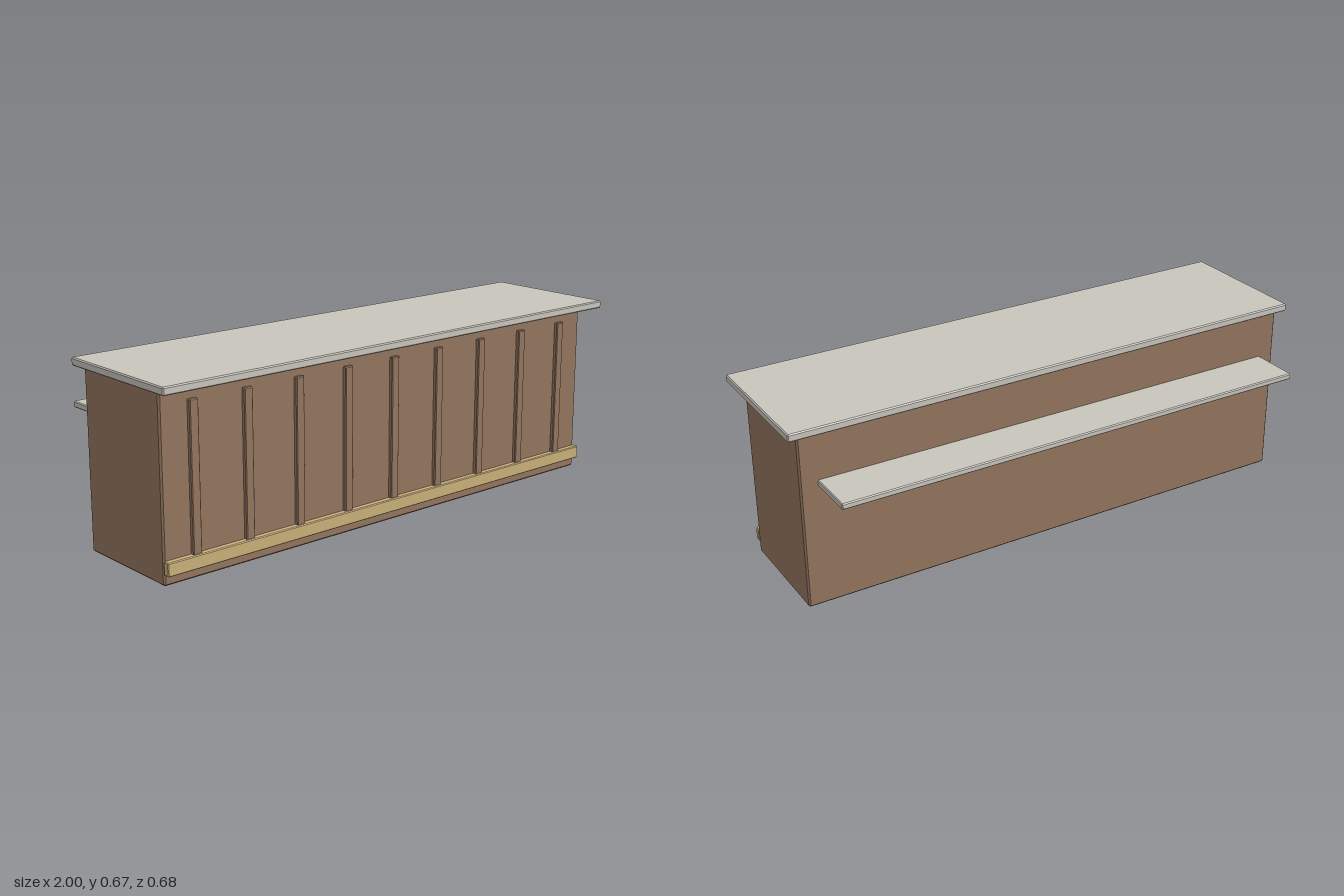
import * as THREE from 'three';
import { ConvexGeometry } from 'three/addons/geometries/ConvexGeometry.js';

// Box given by its min and max corners, with every edge chamfered by b
function chamferBox(min, max, b) {
  const half = max.map((v, i) => (v - min[i]) / 2);
  const points = [];
  for (const sx of [-1, 1]) for (const sy of [-1, 1]) for (const sz of [-1, 1]) {
    for (let axis = 0; axis < 3; axis++) {
      const h = half.map((v, i) => (i === axis ? v : v - b));
      points.push(new THREE.Vector3(sx * h[0], sy * h[1], sz * h[2]));
    }
  }
  return new ConvexGeometry(points).translate(
    (min[0] + max[0]) / 2, (min[1] + max[1]) / 2, (min[2] + max[2]) / 2);
}

export function createModel() {
  const group = new THREE.Group();
  const material = (name, color) => {
    const m = new THREE.MeshStandardMaterial({ color });
    m.name = name;
    return m;
  };
  const wood = material('brown wood', 0x93765f);
  const stone = material('pale stone', 0xc9c5bd);
  const brass = material('brass', 0xc9b07a);

  const add = (name, mat, min, max, bevel) => {
    const mesh = new THREE.Mesh(chamferBox(min, max, bevel), mat);
    mesh.name = name;
    group.add(mesh);
  };

  // Counter body and overhanging top
  add('counterBody', wood, [-0.965, 0, -0.158], [0.965, 0.637, 0.262], 0.006);
  add('counterTop', stone, [-1, 0.637, -0.177], [1, 0.665, 0.34], 0.004);

  // Work shelf on the back
  add('backShelf', stone, [-0.903, 0.447, -0.34], [0.903, 0.469, -0.156], 0.0035);

  // Brass foot rail along the front
  add('footRail', brass, [-0.965, 0.038, 0.261], [0.965, 0.085, 0.286], 0.003);

  // Nine upright battens on the front
  for (let i = 0; i < 9; i++) {
    const x = (i - 4) * 0.211;
    add('frontBatten' + (i + 1), wood, [x - 0.017, 0.08, 0.26], [x + 0.017, 0.591, 0.277], 0.003);
  }
  return group;
}
